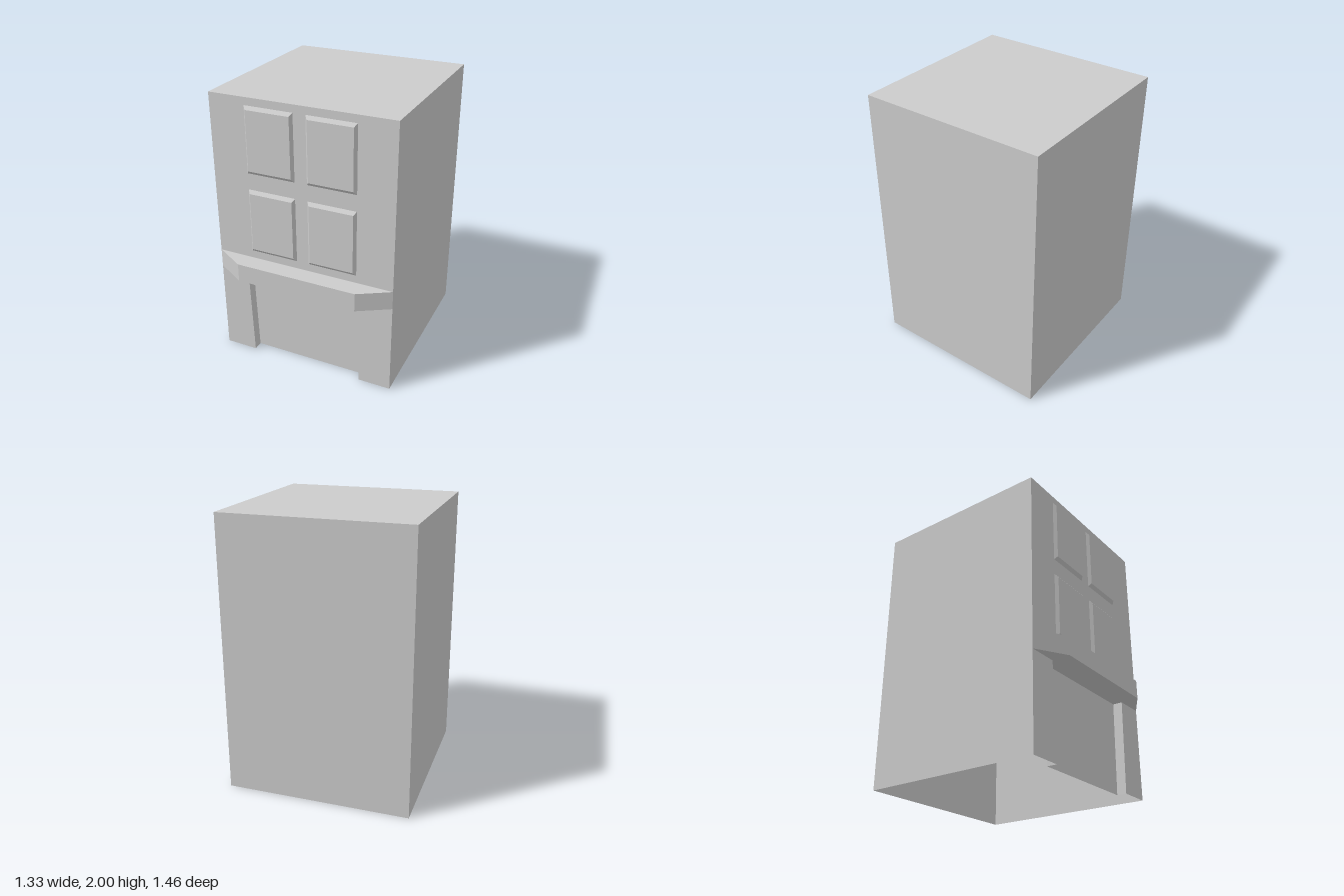
import * as THREE from 'three';

const W = 0.665, FRONT = 0.6, BACK = -0.73, HEIGHT = 2;
const LEDGE_LOW = 0.68, LEDGE_TOP = 0.815, LEDGE_FRONT = 0.73, LEDGE_HALF = 0.445;
const RECESS_BACK = 0.53;

export function createModel() {
  const group = new THREE.Group();
  const material = new THREE.MeshStandardMaterial({
    color: 0xcccccc, flatShading: true, side: THREE.DoubleSide,
  });

  function add(name, geometry, parent = group) {
    const mesh = new THREE.Mesh(geometry, material);
    mesh.name = name;
    parent.add(mesh);
    return mesh;
  }

  function fromTriangles(points) {
    const geometry = new THREE.BufferGeometry();
    geometry.setAttribute('position', new THREE.Float32BufferAttribute(points.flat(), 3));
    geometry.computeVertexNormals();
    return geometry;
  }

  // Flat convex face from a loop of corners
  function face(loop) {
    const tris = [];
    for (let i = 1; i < loop.length - 1; i++) tris.push(loop[0], loop[i], loop[i + 1]);
    return fromTriangles(tris);
  }

  // Band of quads joining two matching rows of points
  function band(a, b, closed = false) {
    const tris = [];
    const n = a.length;
    for (let i = 0; i < (closed ? n : n - 1); i++) {
      const j = (i + 1) % n;
      tris.push(a[i], a[j], b[j], a[i], b[j], b[i]);
    }
    return fromTriangles(tris);
  }

  const atY = (pts, y) => pts.map(([x, z]) => [x, y, z]);
  const atZ = (pts, z) => pts.map(([x, y]) => [x, y, z]);
  const rect = (x0, x1, y0, y1) => [[x0, y0], [x1, y0], [x1, y1], [x0, y1]];
  const toVectors = (pts) => pts.map(([x, y]) => new THREE.Vector2(x, y));

  // Side and back walls, open underneath, and the flat roof
  const plan = [[W, FRONT], [W, BACK], [-W, BACK], [-W, FRONT]];
  add('sideAndBackWalls', band(atY(plan, 0), atY(plan, HEIGHT)));
  add('roof', face(atY(plan, HEIGHT)));

  // Upper front wall, pierced where the four hollow panels push out
  const wall = new THREE.Shape(toVectors(rect(-W, W, LEDGE_TOP, HEIGHT)));
  const panels = new THREE.Group();
  panels.name = 'raisedPanels';
  group.add(panels);
  for (const x of [-0.4, 0.045]) {
    for (const y of [0.872, 1.468]) {
      const outer = rect(x, x + 0.355, y, y + 0.477);
      const inner = rect(x + 0.018, x + 0.337, y + 0.024, y + 0.453);
      wall.holes.push(new THREE.Path(toVectors(outer).reverse()));
      add('panelBevel', band(atZ(outer, FRONT), atZ(inner, FRONT + 0.02), true), panels);
      add('panelFace', face(atZ(inner, FRONT + 0.02)), panels);
    }
  }
  add('upperFrontWall', new THREE.ShapeGeometry(wall)).position.z = FRONT;

  // Projecting ledge with angled ends
  const ledge = [[-W, FRONT], [-LEDGE_HALF, LEDGE_FRONT], [LEDGE_HALF, LEDGE_FRONT], [W, FRONT]];
  add('ledgeFront', band(atY(ledge, LEDGE_LOW), atY(ledge, LEDGE_TOP)));
  add('ledgeTop', face(atY(ledge, LEDGE_TOP)));
  add('ledgeUnderside', face(atY(ledge, LEDGE_LOW).reverse()));

  // Tapered recess below the ledge
  const opening = [[0.427, 0], [0.447, LEDGE_LOW], [-0.447, LEDGE_LOW], [-0.427, 0]];
  add('recessSides', band(atZ(opening, FRONT), atZ(opening, RECESS_BACK)));
  add('recessBack', face(atZ(opening, RECESS_BACK)));

  // Front piers on either side of the recess
  const pier = [[0.427, 0], [W, 0], [W, LEDGE_LOW], [0.447, LEDGE_LOW]];
  add('leftPier', face(atZ(pier, FRONT)));
  add('rightPier', face(atZ(pier.map(([x, y]) => [-x, y]).reverse(), FRONT)));

  return group;
}
